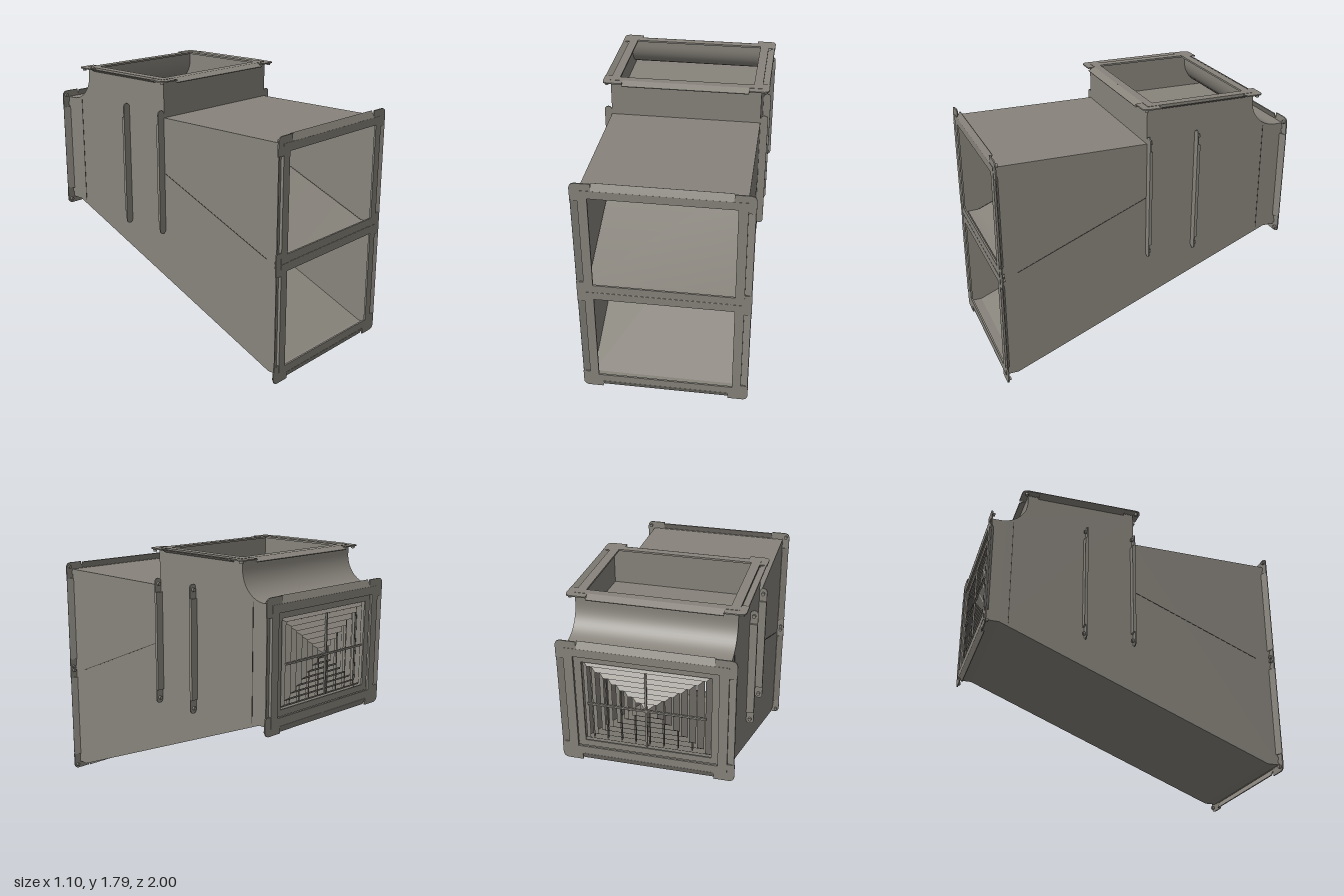
import * as THREE from 'three';
import { toCreasedNormals } from 'three/addons/utils/BufferGeometryUtils.js';

const W = 0.5; // half width of the duct

export function createModel() {
  const model = new THREE.Group();
  const steel = new THREE.MeshStandardMaterial({ color: 0x88847c, side: THREE.DoubleSide });
  steel.name = 'galvanised steel';
  const seamDark = new THREE.MeshStandardMaterial({ color: 0x45433f });
  seamDark.name = 'dark seam';

  const add = (parent, name, geo, x = 0, y = 0, z = 0, mat = steel) => {
    const mesh = new THREE.Mesh(geo, mat);
    mesh.name = name;
    mesh.position.set(x, y, z);
    parent.add(mesh);
    return mesh;
  };
  const box = (w, h, d) => new THREE.BoxGeometry(w, h, d);

  // Sheet spanning the duct width along a path of [z, y] points
  const sheet = (name, path) => {
    const pos = [];
    for (let i = 0; i < path.length - 1; i++) {
      const [z0, y0] = path[i], [z1, y1] = path[i + 1];
      pos.push(-W, y0, z0, W, y0, z0, W, y1, z1, -W, y0, z0, W, y1, z1, -W, y1, z1);
    }
    const geo = new THREE.BufferGeometry();
    geo.setAttribute('position', new THREE.Float32BufferAttribute(pos, 3));
    geo.computeVertexNormals();
    add(model, name, toCreasedNormals(geo, 0.35));
  };

  // Quarter-round throat between the top collar and the rear outlet
  const throat = [];
  for (let i = 0; i <= 14; i++) {
    const a = (i / 14) * Math.PI / 2;
    throat.push([-0.93 + 0.18 * Math.cos(a), 1.735 - 0.18 * Math.sin(a)]);
  }

  const bottom = [[0.99, 0.06], [0.91, 0.06], [-0.9, 0.805], [-0.99, 0.805]];
  const rear = [[-0.75, 1.79], ...throat, [-0.99, 1.555]];
  const front = [[0, 1.79], [0, 1.55], [0.99, 1.55]];
  sheet('slopingBottom', bottom);
  sheet('throatPanel', rear);
  sheet('upperDuctTop', [[0.99, 1.55], [0, 1.55]]);
  sheet('collarFront', [[0, 1.55], [0, 1.79]]);
  sheet('innerDivider', [[0.99, 0.805], [0.88, 0.81], [0, 1.175], [0, 1.55]]);
  sheet('collarFloor', [[0, 1.535], [-0.345, 1.55], [-0.93, 1.55]]);

  // Side walls share the outline of the sheets
  const outline = [...bottom, ...[...rear].reverse(), ...front];
  const wall = new THREE.ShapeGeometry(new THREE.Shape(outline.map(([z, y]) => new THREE.Vector2(-z, y))));
  wall.rotateY(Math.PI / 2);
  const divider = Math.hypot(0.88, 0.365);
  for (const s of [-1, 1]) {
    add(model, 'sideWall', wall, s * W, 0, 0);
    add(model, 'outletSeam', box(0.004, 0.75, 0.004), s * W, 1.18, -0.84, seamDark);
    const line = add(model, 'dividerSeam', box(0.004, 0.004, divider), s * W, 0.9925, 0.44, seamDark);
    line.rotation.x = Math.atan2(0.365, 0.88);
  }

  const rect = (C, w, h) => new C([[-w, -h], [w, -h], [w, h], [-w, h]].map(p => new THREE.Vector2(...p)));
  const ring = (w, h, iw, ih, depth) => {
    const shape = rect(THREE.Shape, w, h);
    shape.holes.push(rect(THREE.Path, iw, ih));
    return new THREE.ExtrudeGeometry(shape, { depth, bevelEnabled: false });
  };

  // Rounded L-shaped corner plate with its outer corner at +x +y
  const cornerShape = new THREE.Shape();
  cornerShape.moveTo(0.42, 0.37);
  cornerShape.lineTo(0.5, 0.37);
  cornerShape.lineTo(0.5, 0.3);
  cornerShape.lineTo(0.55, 0.3);
  cornerShape.lineTo(0.55, 0.38);
  cornerShape.quadraticCurveTo(0.55, 0.42, 0.51, 0.42);
  cornerShape.lineTo(0.42, 0.42);
  const corner = new THREE.ExtrudeGeometry(cornerShape, { depth: 0.008, bevelEnabled: false });
  const bolt = new THREE.CylinderGeometry(0.012, 0.012, 0.02, 12).rotateX(Math.PI / 2);

  // Rectangular flange facing local +z: lip, tilted rails, corner plates, bolts
  const flange = (name, y, z) => {
    const g = new THREE.Group();
    g.name = name;
    g.position.set(0, y, z);
    add(g, 'lip', ring(0.503, 0.373, 0.445, 0.32, 0.012), 0, 0, -0.014);
    for (const s of [-1, 1]) {
      add(g, 'rail', box(0.84, 0.05, 0.006), 0, s * 0.395, -0.015).rotation.x = -s * 0.45;
      add(g, 'rail', box(0.05, 0.61, 0.006), s * 0.525, 0, -0.015).rotation.y = s * -0.45;
      for (const t of [-1, 1]) {
        // Half turns keep the plate faces the right way round
        const plate = add(g, 'cornerPlate', corner, 0, 0, s === t ? -0.012 : -0.004);
        if (s === t) plate.rotation.z = s > 0 ? 0 : Math.PI;
        else if (s < 0) plate.rotation.y = Math.PI;
        else plate.rotation.x = Math.PI;
        add(g, 'bolt', bolt, s * 0.525, t * 0.39, -0.018);
      }
    }
    model.add(g);
    return g;
  };
  flange('upperFrontFlange', 1.18, 1);
  flange('lowerFrontFlange', 0.43, 1);
  flange('topFlange', 1.8, -0.375).rotation.x = -Math.PI / 2;
  const outlet = flange('rearFlange', 1.18, -1);
  outlet.rotation.y = Math.PI;

  // Rear grille: nested four-sided blades with a cross bar
  const grille = new THREE.Group();
  grille.name = 'rearGrille';
  outlet.add(grille);
  add(grille, 'grilleFrame', ring(0.446, 0.321, 0.4, 0.28, 0.01), 0, 0, -0.03);
  const rings = 8;
  for (let i = 1; i <= rings; i++) {
    const outer = i / rings, inner = Math.max(outer - 0.09, 0.01);
    let geo = new THREE.CylinderGeometry(inner * Math.SQRT2, outer * Math.SQRT2, 0.03, 4, 1, true);
    geo.rotateY(Math.PI / 4).rotateX(Math.PI / 2).scale(0.4, 0.28, 1);
    geo = geo.toNonIndexed();
    geo.computeVertexNormals();
    add(grille, 'blade', geo, 0, 0, -0.035);
  }
  add(grille, 'crossBar', box(0.74, 0.012, 0.012), 0, 0, -0.012);
  add(grille, 'crossBar', box(0.012, 0.52, 0.012), 0, 0, -0.012);
  for (let i = -4; i <= 4; i++) add(grille, 'rearBar', box(0.008, 0.56, 0.02), i * 0.09, 0, -0.075);

  // Upright joining strips on both sides
  for (const s of [-1, 1]) {
    for (const z of [-0.012, -0.345]) {
      const strip = new THREE.Group();
      strip.name = 'joiningStrip';
      strip.position.set(s * 0.525, 1.18, z);
      add(strip, 'stripRail', box(0.05, 0.66, 0.02));
      for (const t of [-1, 1]) {
        add(strip, 'stripEnd', box(0.05, 0.075, 0.008), 0, t * 0.362, 0.006);
        const cap = new THREE.CylinderGeometry(0.025, 0.025, 0.008, 16).rotateX(Math.PI / 2);
        add(strip, 'stripEndCap', cap, 0, t * 0.397, 0.006);
        add(strip, 'bolt', bolt, 0, t * 0.385, -0.004);
      }
      model.add(strip);
    }
  }
  return model;
}
